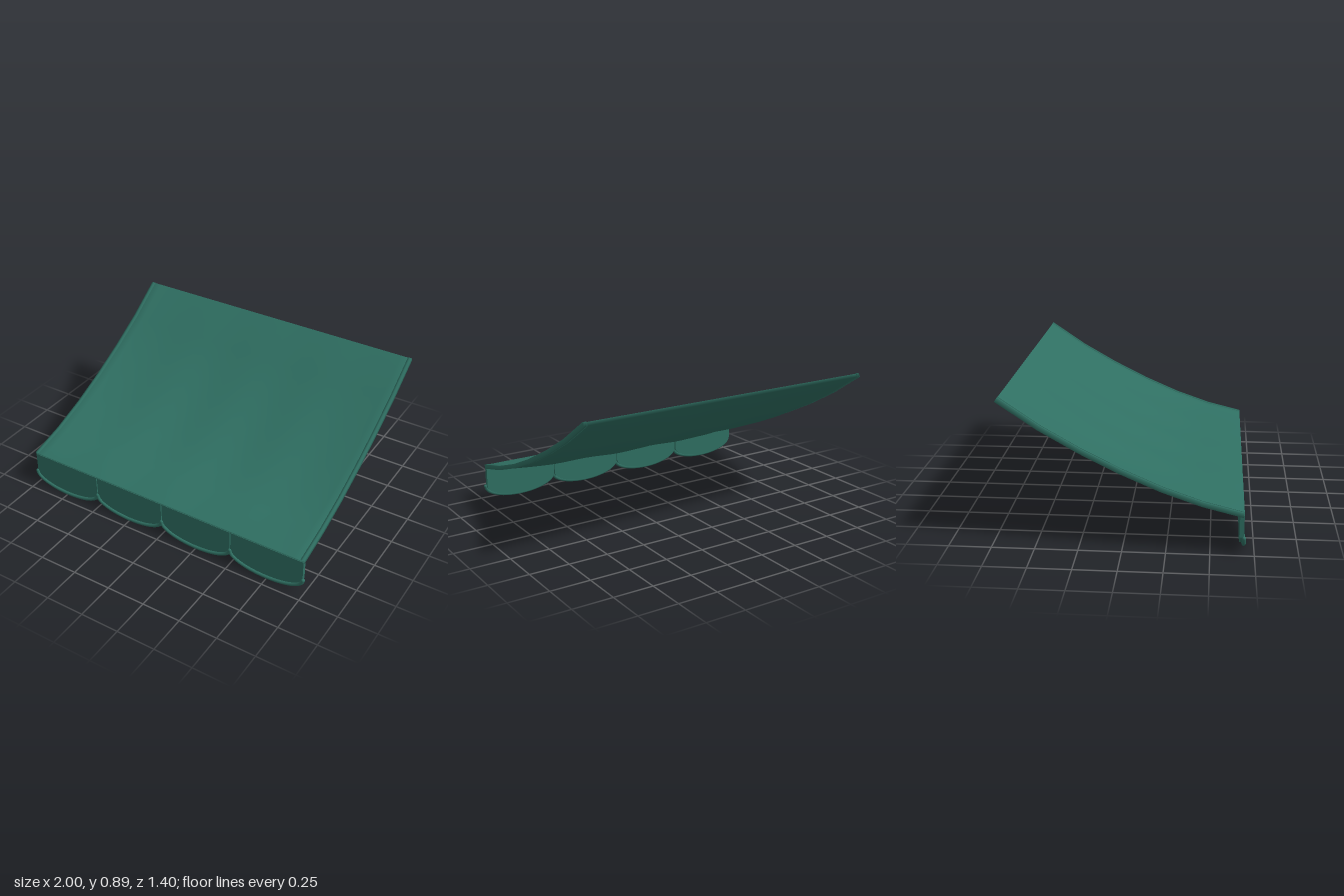
import * as THREE from 'three';
import { mergeVertices } from 'three/addons/utils/BufferGeometryUtils.js';

const canvasGreen = new THREE.MeshStandardMaterial({ color: 0x2f6f62 });
canvasGreen.name = 'canvasGreen';

// Side profile of the awning's upper edge, [z, y] from front to back
const PROFILE = [[0.69, 0.25], [0.46, 0.307], [0.23, 0.387], [0, 0.487],
  [-0.23, 0.603], [-0.455, 0.732], [-0.685, 0.888]];
const STEPS = PROFILE.length - 1;

// Bend a box along the profile, with an optional sag as a function of x and t
function bentSheet(name, x0, x1, columns, thickness, sag = () => 0) {
  let geo = new THREE.BoxGeometry(1, 1, 1, columns, 1, STEPS);
  const pos = geo.attributes.position;
  for (let i = 0; i < pos.count; i++) {
    const x = x0 + (pos.getX(i) + 0.5) * (x1 - x0);
    const k = Math.round((0.5 - pos.getZ(i)) * STEPS);
    const [z, y] = PROFILE[k];
    const a = PROFILE[Math.max(k - 1, 0)], b = PROFILE[Math.min(k + 1, STEPS)];
    const dz = b[0] - a[0], dy = b[1] - a[1], len = Math.hypot(dz, dy);
    const depth = pos.getY(i) > 0 ? 0 : thickness;
    pos.setXYZ(i, x, y + depth * dz / len - sag(x, k / STEPS), z - depth * dy / len);
  }
  // Weld the sheet so its normals roll softly over the edges
  geo.deleteAttribute('normal');
  geo.deleteAttribute('uv');
  geo = mergeVertices(geo, 1e-5);
  geo.computeVertexNormals();
  const mesh = new THREE.Mesh(geo, canvasGreen);
  mesh.name = name;
  return mesh;
}

// Cloth hangs between its four edges, with a slight dip in each of four bays
function clothSag(x, t) {
  const u = THREE.MathUtils.clamp((x + 0.98) / 1.96, 0, 1);
  const across = Math.sqrt(Math.max(0, Math.sin(Math.PI * u)));
  return 0.047 * Math.sin(Math.PI * t) * across * (0.88 - 0.12 * Math.cos(8 * Math.PI * u));
}

export function createModel() {
  const group = new THREE.Group();
  group.name = 'awning';

  group.add(bentSheet('canopy', -0.98, 0.98, 32, 0.022, clothSag));
  for (const side of [-1, 1]) {
    const hem = bentSheet(side > 0 ? 'leftHem' : 'rightHem',
      side * 0.978 - 0.012, side * 0.978 + 0.012, 2, 0.027);
    hem.position.y = 0.003;
    group.add(hem);
  }

  // Scalloped valance: four flaps, each with piping round its lower edge
  const bay = 0.495, radius = bay / 2, jointY = 0.11, drop = 0.09;
  for (let n = 0; n < 4; n++) {
    const cx = (n - 1.5) * bay;
    const half = radius - 0.003;
    const shape = new THREE.Shape();
    shape.moveTo(half, 0.238);
    shape.lineTo(-half, 0.238);
    shape.lineTo(-half, jointY);
    shape.absellipse(0, jointY, half, drop, Math.PI, 2 * Math.PI, false);
    shape.closePath();
    const flap = new THREE.Mesh(new THREE.ExtrudeGeometry(shape,
      { depth: 0.025, bevelEnabled: false, curveSegments: 20 }), canvasGreen);
    flap.name = 'valanceFlap';
    flap.position.set(cx, 0, 0.665);
    group.add(flap);

    const points = [];
    for (let i = 0; i <= 16; i++) {
      const a = Math.PI * (1 + i / 16);
      points.push(new THREE.Vector3(radius * Math.cos(a), jointY - 0.008 + drop * Math.sin(a), 0));
    }
    const piping = new THREE.Mesh(new THREE.TubeGeometry(
      new THREE.CatmullRomCurve3(points), 32, 0.012, 8), canvasGreen);
    piping.name = 'valancePiping';
    piping.position.set(cx, 0, 0.69);
    group.add(piping);

    // Rounded ends of the piping
    for (const p of [points[0], points[16]]) {
      const end = new THREE.Mesh(new THREE.SphereGeometry(0.012, 10, 8), canvasGreen);
      end.name = 'pipingEnd';
      end.position.set(cx + p.x, p.y, 0.69);
      group.add(end);
    }
  }
  return group;
}
